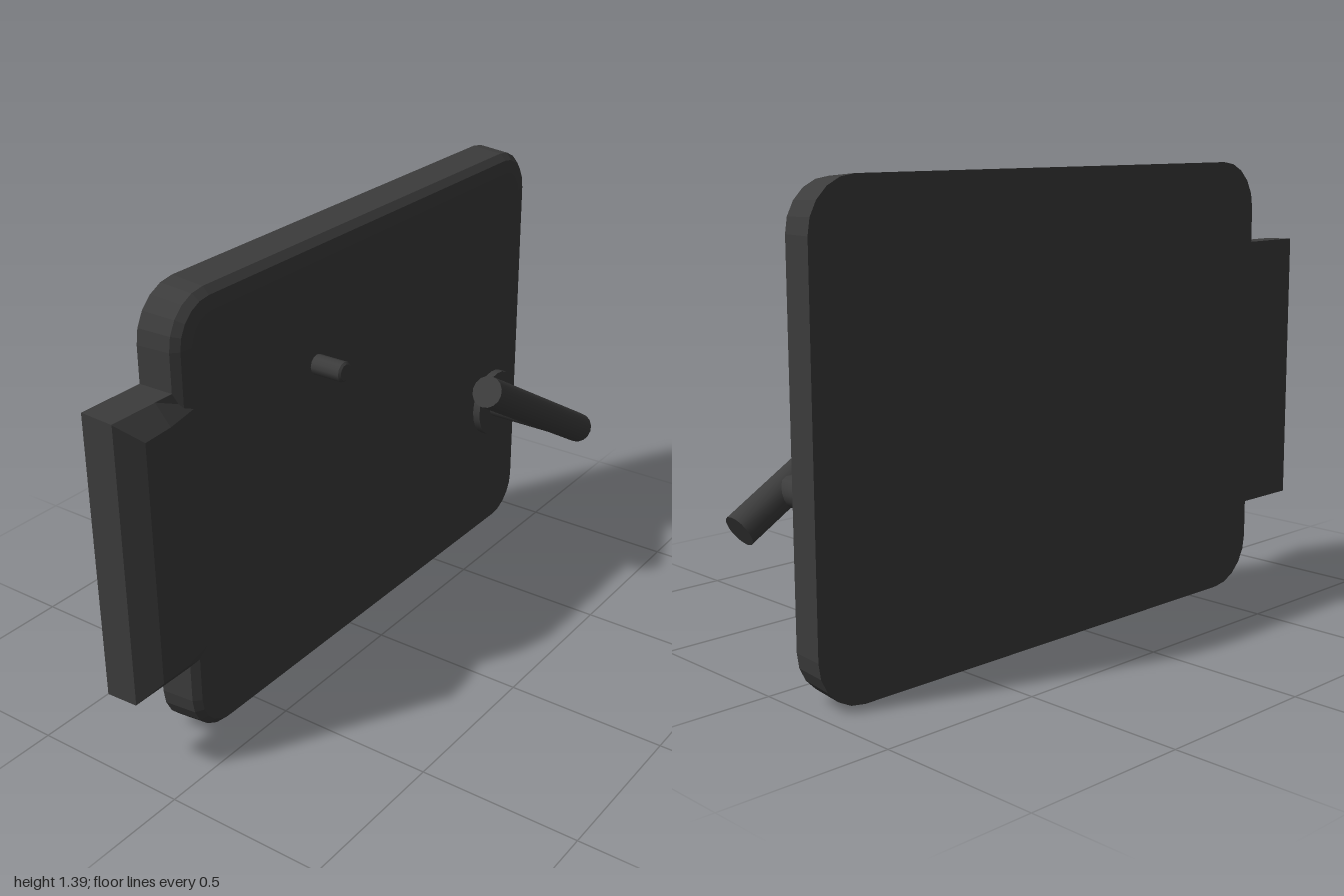
import * as THREE from 'three';

const steel = new THREE.MeshStandardMaterial({ color: 0x3c3c3c });
const steelFlat = new THREE.MeshStandardMaterial({ color: 0x3c3c3c, flatShading: true });

// Skin a list of convex rings and close both ends
function loft(rings) {
  const n = rings[0].length;
  const index = [];
  for (let i = 0; i < rings.length - 1; i++) {
    for (let j = 0; j < n; j++) {
      const k = (j + 1) % n;
      const a = i * n + j, b = i * n + k, c = a + n, d = b + n;
      index.push(a, b, d, a, d, c);
    }
  }
  const last = (rings.length - 1) * n;
  for (let j = 1; j < n - 1; j++) {
    index.push(0, j + 1, j);
    index.push(last, last + j, last + j + 1);
  }
  const geo = new THREE.BufferGeometry();
  geo.setAttribute('position', new THREE.Float32BufferAttribute(rings.flat(2), 3));
  geo.setIndex(index);
  const flat = geo.toNonIndexed();
  flat.computeVertexNormals();
  return flat;
}

// Rounded rectangle in the y-z plane at a given x, shrunk by inset
function doorRing(x, inset) {
  const y0 = 0, y1 = 1.395, z0 = -1, z1 = 0.785, radius = 0.15, steps = 5;
  const r = radius - inset;
  const corners = [[y1, z1, -1, -1], [y0, z1, 1, -1], [y0, z0, 1, 1], [y1, z0, -1, 1]];
  const ring = [];
  corners.forEach(([y, z, sy, sz], c) => {
    for (let s = 0; s <= steps; s++) {
      const a = (c + s / steps) * Math.PI / 2;
      ring.push([x, y + sy * radius + r * Math.cos(a), z + sz * radius + r * Math.sin(a)]);
    }
  });
  return ring;
}

// Chamfered block section in the x-y plane at a given z
function hingeRing(z, top, chamfer) {
  const y0 = 0.265, y1 = 1.135;
  return [
    [-0.225, y0, z], [-0.12, y0 + 0.005, z], [top, y0 + chamfer, z],
    [top, y1 - chamfer, z], [-0.12, y1 - 0.005, z], [-0.225, y1, z],
  ];
}

// Cylinder pointing along x, from x0 to x1
function rod(name, radius, x0, x1, y, z, sides, bevel = 0) {
  const profile = [[0, x0], [radius, x0], [radius, x1 - bevel]];
  if (bevel) profile.push([radius - bevel, x1]);
  profile.push([0, x1]);
  // each profile segment is its own lathe so edges stay sharp
  const group = new THREE.Group();
  group.name = name;
  for (let i = 0; i < profile.length - 1; i++) {
    const pts = [profile[i], profile[i + 1]].map(p => new THREE.Vector2(...p));
    const mesh = new THREE.Mesh(new THREE.LatheGeometry(pts, sides), steel);
    mesh.rotation.z = -Math.PI / 2;
    mesh.name = name + 'Surface' + i;
    group.add(mesh);
  }
  group.position.set(0, y, z);
  return group;
}

export function createModel() {
  const model = new THREE.Group();
  model.name = 'hatchDoor';

  // Door slab with a slight taper and a softened outer edge
  const door = new THREE.Mesh(loft([
    doorRing(-0.225, 0), doorRing(-0.12, 0.009),
    doorRing(-0.1, 0.03), doorRing(-0.094, 0.07),
  ]), steelFlat);
  door.name = 'doorSlab';
  model.add(door);

  // Chamfered hinge block, blending into the door face
  const hinge = new THREE.Mesh(loft([
    hingeRing(0.7, -0.1, 0.062), hingeRing(0.84, -0.07, 0.062),
    hingeRing(0.94, -0.066, 0.065), hingeRing(1, -0.119, 0.006),
  ]), steelFlat);
  hinge.name = 'hingeBlock';
  model.add(hinge);

  // Small peg, handle rosette and handle shaft
  model.add(rod('peg', 0.031, -0.11, 0.01, 1.01, 0.19, 12, 0.006));
  model.add(rod('handleRosette', 0.115, -0.11, -0.068, 0.51, -0.8, 24));
  model.add(rod('handleShaft', 0.047, -0.1, 0.165, 0.51, -0.8, 16));

  // Slanted handle bar
  const from = new THREE.Vector3(0.172, 0.418, -0.96);
  const to = new THREE.Vector3(0.172, 0.795, -0.33);
  const dir = to.clone().sub(from);
  const bar = new THREE.Mesh(new THREE.CylinderGeometry(0.051, 0.051, dir.length(), 16), steel);
  bar.name = 'handleBar';
  bar.position.copy(from).add(to).multiplyScalar(0.5);
  bar.quaternion.setFromUnitVectors(new THREE.Vector3(0, 1, 0), dir.normalize());
  model.add(bar);

  return model;
}
